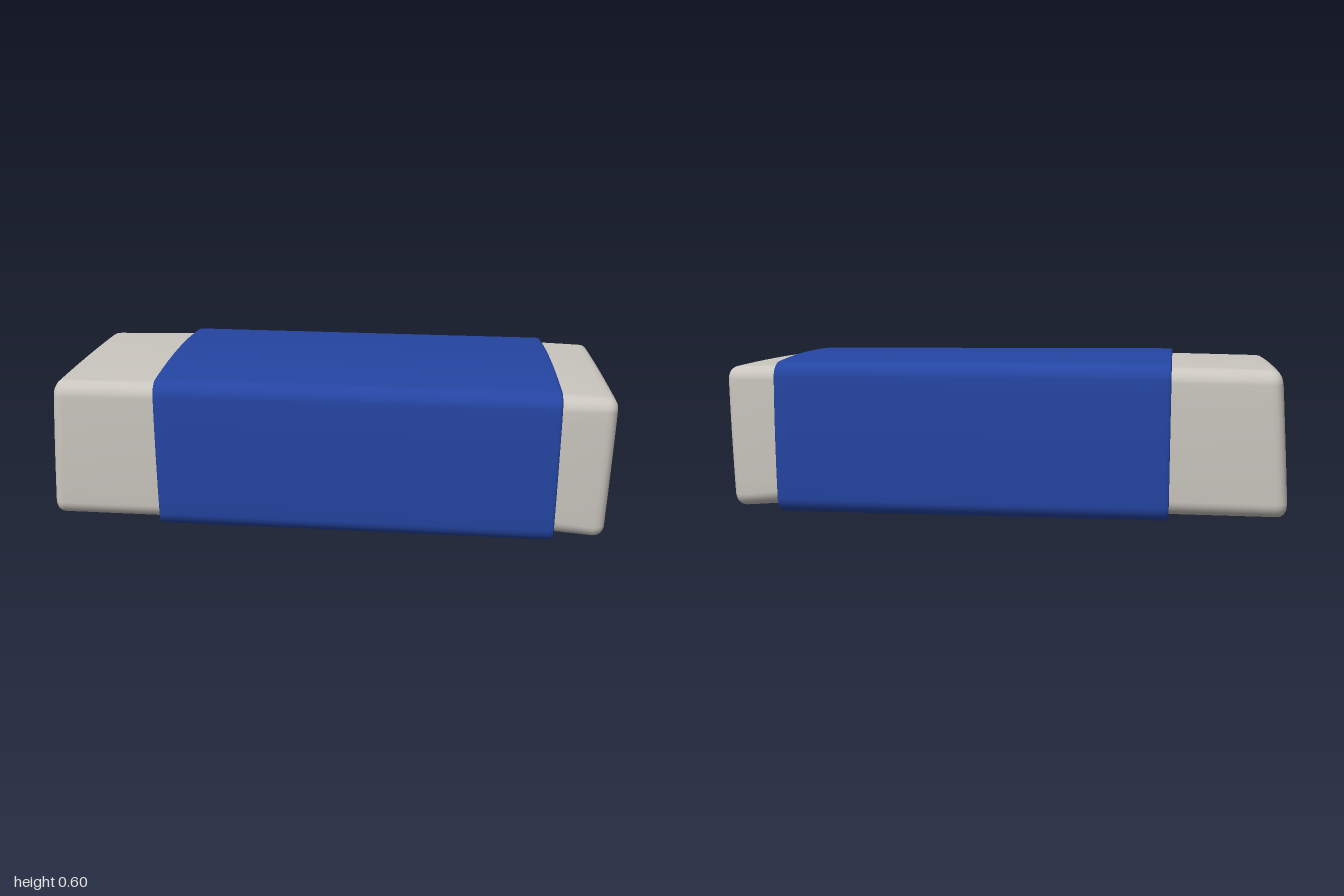
import * as THREE from 'three';

const EDGE = 8, ARC = 6; // steps along each side and around each corner

// Rounded rectangle in (z, y) with gently bowed sides
function section({ x, y0, y1, hz, r, bow, side, inset = 0, lean = 0 }) {
  const mid = (y0 + y1) / 2, h = (y1 - y0) / 2 - bow - inset, w = hz - side - inset;
  const rad = Math.max(r - inset, 0.01), pts = [];
  const corners = [[1, 1], [-1, 1], [-1, -1], [1, -1]];
  const flat = [];
  corners.forEach(([sz, sy], c) => {
    for (let i = 0; i <= ARC; i++) {
      const a = (c + i / ARC) * Math.PI / 2;
      flat.push([sz * (w - rad) + rad * Math.cos(a), sy * (h - rad) + rad * Math.sin(a)]);
    }
    // straight run to the next corner
    const [nz, ny] = corners[(c + 1) % 4], a = (c + 1) * Math.PI / 2;
    const from = flat[flat.length - 1];
    const to = [nz * (w - rad) + rad * Math.cos(a), ny * (h - rad) + rad * Math.sin(a)];
    for (let i = 1; i < EDGE; i++) {
      const t = i / EDGE;
      flat.push([from[0] + (to[0] - from[0]) * t, from[1] + (to[1] - from[1]) * t]);
    }
  });
  for (const [z, y] of flat) {
    const u = z / w, v = y / h;
    const yy = y + bow * v * (1 - u * u), zz = z + side * u * (1 - v * v);
    pts.push([x + lean * yy, mid + yy, zz]);
  }
  return pts;
}

// Skin a row of sections running along +x, optionally closing both ends
function loft(stations, capped) {
  const rings = stations.map(section), n = rings[0].length, pos = rings.flat(2), index = [];
  for (let i = 0; i < rings.length - 1; i++) {
    for (let j = 0; j < n; j++) {
      const k = (j + 1) % n, a = i * n + j, b = i * n + k, c = a + n, d = b + n;
      index.push(a, c, b, b, c, d);
    }
  }
  if (capped) {
    for (const last of [false, true]) {
      const s = stations[last ? stations.length - 1 : 0], centre = pos.length / 3;
      const base = last ? (rings.length - 1) * n : 0;
      pos.push(s.x, (s.y0 + s.y1) / 2, 0);
      for (let j = 0; j < n; j++) {
        const a = base + j, b = base + (j + 1) % n;
        if (last) index.push(centre, b, a);
        else index.push(centre, a, b);
      }
    }
  }
  const g = new THREE.BufferGeometry();
  g.setAttribute('position', new THREE.Float32BufferAttribute(pos, 3));
  g.setIndex(index);
  g.computeVertexNormals();
  return g;
}

export function createModel() {
  const rubber = new THREE.MeshStandardMaterial({ color: 0xcac6bf });
  rubber.name = 'warm grey rubber';
  const card = new THREE.MeshStandardMaterial({ color: 0x2445a2 });
  card.name = 'blue card';
  const model = new THREE.Group();
  model.name = 'eraser';

  // Rubber block: slightly tilted end faces with soft edges
  const left = { y0: 0.048, y1: 0.562, hz: 0.392, r: 0.05, bow: 0.005, side: 0.004, lean: 0.065 };
  const right = { y0: 0.028, y1: 0.55, hz: 0.395, r: 0.045, bow: 0.005, side: 0.004, lean: 0.025 };
  const rounding = [[0, 0.07], [0, 0.045], [0.004, 0.025], [0.013, 0.01], [0.026, 0.002], [0.042, 0]];
  const block = new THREE.Mesh(loft([
    ...rounding.map(([d, inset]) => ({ ...left, x: -0.985 + d, inset })),
    { x: -0.6, y0: 0.042, y1: 0.572, hz: 0.399, r: 0.05, bow: 0.012, side: 0.004 },
    { x: 0.8, y0: 0.034, y1: 0.562, hz: 0.399, r: 0.05, bow: 0.012, side: 0.004 },
    ...rounding.map(([d, inset]) => ({ ...right, x: 0.988 - d, inset })).reverse(),
  ], true), rubber);
  block.name = 'rubberBlock';
  model.add(block);

  // Card sleeve: bowed tube whose rims turn in to the block
  const sl = { y0: 0.014, y1: 0.595, hz: 0.421, r: 0.05, bow: 0.022, side: 0.007 };
  const sr = { ...sl, y0: 0.0, y1: 0.585 };
  const sleeve = new THREE.Mesh(loft([
    { ...sl, x: -0.59, inset: 0.035 },
    { ...sl, x: -0.598, inset: 0.012 },
    { ...sl, x: -0.6, inset: 0.006 },
    { ...sl, x: -0.597, inset: 0.002 },
    { ...sl, x: -0.588 },
    { ...sl, x: -0.55 },
    { ...sr, x: 0.75 },
    { ...sr, x: 0.788 },
    { ...sr, x: 0.797, inset: 0.002 },
    { ...sr, x: 0.8, inset: 0.006 },
    { ...sr, x: 0.798, inset: 0.012 },
    { ...sr, x: 0.79, inset: 0.035 },
  ], false), card);
  sleeve.name = 'cardSleeve';
  model.add(sleeve);

  return model;
}
